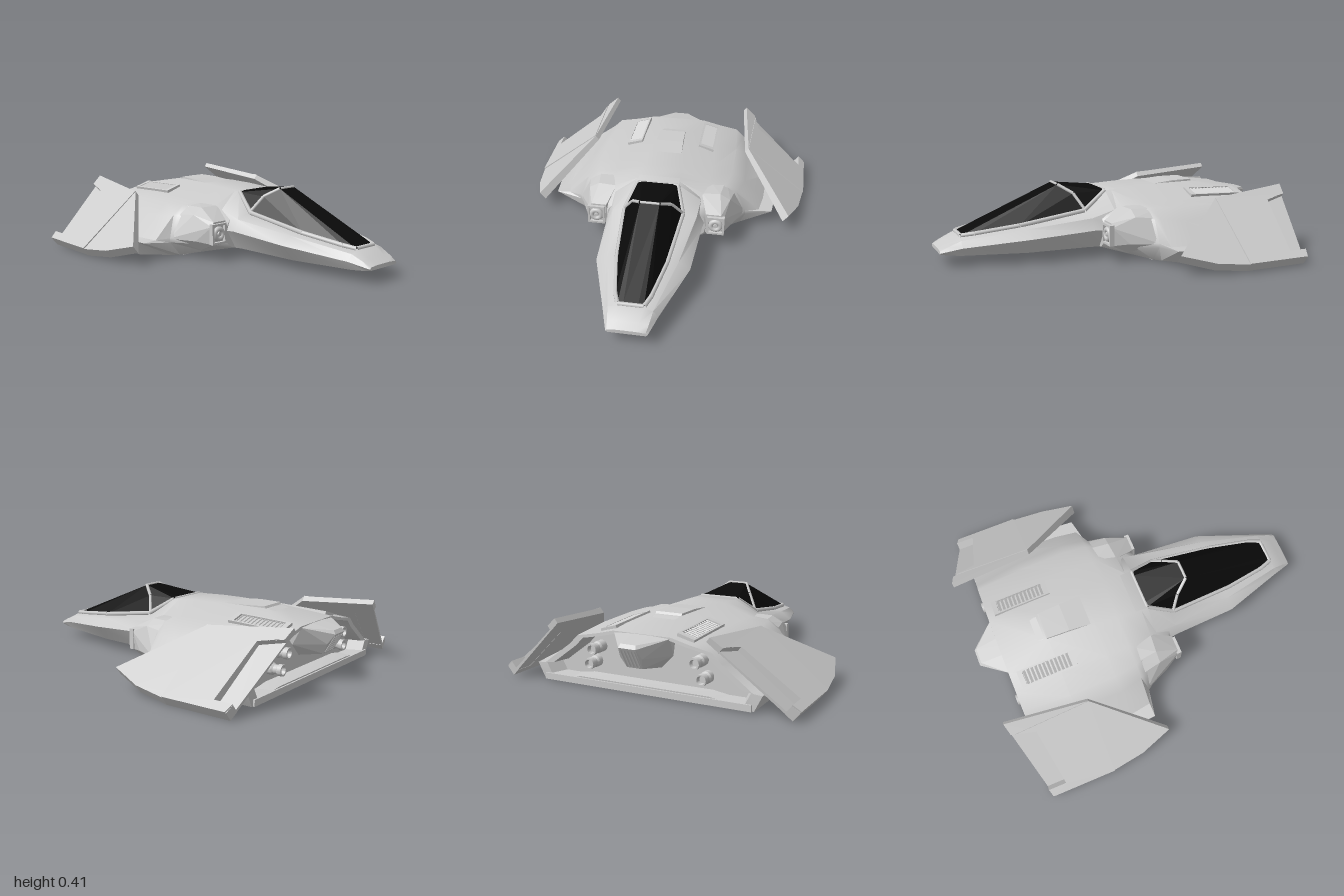
import * as THREE from 'three';
import { ConvexGeometry } from 'three/addons/geometries/ConvexGeometry.js';
import { toCreasedNormals } from 'three/addons/utils/BufferGeometryUtils.js';

const grey = new THREE.MeshStandardMaterial({ color: 0xcccccc });
const glass = new THREE.MeshStandardMaterial({ color: 0x0a0a0a });
const V = (x, y, z) => new THREE.Vector3(x, y, z);

// Mirrored copy across x = 0 with the winding turned round
function mirror(geo) {
  const g = geo.index ? geo.toNonIndexed() : geo.clone();
  g.scale(-1, 1, 1);
  for (const a of Object.values(g.attributes)) {
    const n = a.itemSize, arr = a.array;
    for (let i = 0; i < arr.length; i += 3 * n)
      for (let k = 0; k < n; k++) [arr[i + k], arr[i + 2 * n + k]] = [arr[i + 2 * n + k], arr[i + k]];
  }
  return g;
}

// Symmetric skin through rows [z, x,y, x,y, ...] running from front to back
function loft(rows) {
  const pos = [], idx = [], n = rows[0].length - 1;
  for (const [z, ...p] of rows) {
    for (let i = 0; i < n; i += 2) pos.push(p[i], p[i + 1], z);
    for (let i = n - 2; i >= 0; i -= 2) pos.push(-p[i], p[i + 1], z);
  }
  for (let r = 0; r < rows.length - 1; r++)
    for (let i = 0; i < n; i++) {
      const a = r * n + i, b = r * n + (i + 1) % n;
      idx.push(a, a + n, b, b, a + n, b + n);
    }
  const last = (rows.length - 1) * n, c = pos.length / 3;
  const midY = (row) => (row[2] + row[n]) / 2;
  pos.push(0, midY(rows[0]), rows[0][0], 0, midY(rows.at(-1)), rows.at(-1)[0]);
  for (let i = 0; i < n; i++) {
    const j = (i + 1) % n;
    idx.push(c, i, j, c + 1, last + j, last + i);
  }
  const g = new THREE.BufferGeometry();
  g.setAttribute('position', new THREE.Float32BufferAttribute(pos, 3));
  g.setIndex(idx);
  return toCreasedNormals(g, 0.65);
}

const shape = (pts) => new THREE.Shape(pts.map(([x, y]) => new THREE.Vector2(x, y)));
const extrude = (s, depth) => new THREE.ExtrudeGeometry(s, { depth, bevelEnabled: false });
const rect = (x0, y0, x1, y1) => [[x0, y0], [x1, y0], [x1, y1], [x0, y1]];
function frame(outer, ...holes) {
  const s = shape(outer);
  for (const h of holes) s.holes.push(shape(h));
  return s;
}
const bar = (a, b, r) => new THREE.TubeGeometry(new THREE.LineCurve3(a, b), 1, r, 6);

// Slab lying in the sloping wing plane; outline in (x, z), d from outer (0) to inner (1) skin
function wingSlab(outline, d0, d1) {
  const g = extrude(shape(outline), d1 - d0), p = g.attributes.position;
  for (let i = 0; i < p.count; i++) {
    const x = p.getX(i), z = p.getY(i);
    const d = (p.getZ(i) + d0) * (0.03 + 0.07 * (x - 0.45));
    p.setXYZ(i, x - 0.62 * d, 0.39 - 0.8 * (x - 0.45) - 0.78 * d, z);
  }
  g.computeVertexNormals();
  return g;
}

export function createModel() {
  const model = new THREE.Group();
  const add = (name, geo, mat = grey) => {
    const m = new THREE.Mesh(geo, mat);
    m.name = name;
    model.add(m);
  };
  const pair = (name, geo) => {
    add(name + 'Left', geo);
    add(name + 'Right', mirror(geo));
  };

  // Nose: bottom edge, chine, shoulder, cockpit sill
  add('nose', loft([
    [0.995, 0.1, 0.082, 0.11, 0.09, 0.1, 0.1, 0.05, 0.104],
    [0.95, 0.11, 0.075, 0.125, 0.1, 0.11, 0.122, 0.06, 0.128],
    [0.88, 0.12, 0.068, 0.147, 0.115, 0.12, 0.152, 0.07, 0.165],
    [0.52, 0.18, 0.06, 0.265, 0.155, 0.2, 0.2, 0.14, 0.208],
    [0.15, 0.22, 0.065, 0.285, 0.175, 0.25, 0.24, 0.17, 0.268],
    [0.02, 0.24, 0.06, 0.3, 0.17, 0.26, 0.28, 0.125, 0.37],
    [-0.15, 0.26, 0.04, 0.32, 0.17, 0.28, 0.28, 0.12, 0.374],
  ]));

  // Body: belly, belly edge, skirt tip, skirt root, flank, shoulder, deck; ends in a recessed rear bay
  const body = [
    [0.1, 0.2, 0.065, 0.25, 0.067, 0.29, 0.1, 0.3, 0.14, 0.29, 0.2, 0.27, 0.23, 0.22, 0.25, 0.12, 0.26],
    [-0.02, 0.3, 0.04, 0.36, 0.042, 0.44, 0.1, 0.44, 0.13, 0.4, 0.22, 0.37, 0.27, 0.28, 0.295, 0.125, 0.37],
    [-0.135, 0.36, 0.016, 0.45, 0.016, 0.52, 0.1, 0.52, 0.125, 0.46, 0.25, 0.39, 0.3, 0.29, 0.31, 0.12, 0.376],
    [-0.165, 0.37, 0.045, 0.49, 0.016, 0.68, 0.115, 0.6, 0.12, 0.47, 0.25, 0.4, 0.302, 0.29, 0.312, 0.12, 0.377],
    [-0.3, 0.42, 0.045, 0.615, 0.014, 0.69, 0.115, 0.62, 0.12, 0.5, 0.235, 0.42, 0.3, 0.29, 0.315, 0.11, 0.38],
    [-0.58, 0.42, 0.045, 0.62, 0.014, 0.69, 0.115, 0.63, 0.115, 0.49, 0.235, 0.42, 0.295, 0.28, 0.315, 0.085, 0.378],
    [-0.86, 0.42, 0.045, 0.625, 0.014, 0.67, 0.1, 0.62, 0.105, 0.45, 0.23, 0.4, 0.28, 0.28, 0.303, 0.17, 0.33],
  ];
  const inset = (z, k) => [z, ...body.at(-1).slice(1).map((v, i) => (i % 2 ? 0.17 + (v - 0.17) * k : v * k))];
  add('body', loft([...body, inset(-0.861, 0.91), inset(-0.77, 0.86)]));

  // Belly plate with two louvred bays
  const bay = [[0.04, -0.36], [0.3, -0.36], [0.36, -0.78], [0.04, -0.78]];
  const flip = (pts) => pts.map(([x, z]) => [-x, z]);
  const edge = [[0.43, -0.125], [0.6, -0.29], [0.615, -0.87]];
  const plate = frame([...edge, ...flip(edge).reverse()], bay, flip(bay));
  add('bellyPlate', extrude(plate, 0.035).rotateX(Math.PI / 2).translate(0, 0.049, 0));
  for (let i = 0; i < 7; i++) {
    const w = 0.265 + i * 0.008;
    pair('bellyLouvre' + i, new THREE.BoxGeometry(w, 0.007, 0.036).rotateX(0.6)
      .translate(0.04 + w / 2, 0.032, -0.4 - i * 0.056));
  }

  // Canopy, its rim and the windscreen arch
  const rim = [V(0.07, 0.17, 0.87), V(0.095, 0.18, 0.8), V(0.14, 0.212, 0.55), V(0.172, 0.272, 0.17), V(0.12, 0.368, 0.02)];
  const ridge = [V(0.04, 0.175, 0.865), V(0.055, 0.413, 0.29), V(0.112, 0.365, 0.215), V(0.09, 0.376, 0.02)];
  const flipV = (p) => V(-p.x, p.y, p.z);
  const half = [...rim, ...ridge];
  add('canopy', new ConvexGeometry([...half, ...half.map(flipV)]), glass);
  for (let i = 0; i < rim.length - 1; i++) pair('canopyRim' + i, bar(rim[i], rim[i + 1], 0.013));
  add('canopyRimFront', bar(rim[0], flipV(rim[0]), 0.012));
  add('canopyRimBack', bar(rim[4], flipV(rim[4]), 0.01));
  pair('archLower', bar(V(0.172, 0.275, 0.165), ridge[2], 0.01));
  pair('archUpper', bar(ridge[2], ridge[1], 0.01));
  add('archTop', bar(ridge[1], flipV(ridge[1]), 0.008));

  // Side pods with a framed gun port
  pair('pod', new ConvexGeometry([
    V(0.3, 0.105, 0.1), V(0.395, 0.105, 0.1), V(0.405, 0.21, 0.1), V(0.39, 0.235, 0.1), V(0.3, 0.235, 0.1),
    V(0.26, 0.3, -0.02), V(0.37, 0.3, -0.03), V(0.43, 0.265, -0.03), V(0.45, 0.12, 0.01), V(0.4, 0.06, 0),
    V(0.26, 0.31, -0.2), V(0.39, 0.3, -0.2), V(0.46, 0.25, -0.2), V(0.52, 0.12, -0.15), V(0.28, 0.06, -0.15),
  ]));
  pair('gunFrame', extrude(frame(rect(0.308, 0.108, 0.412, 0.226), rect(0.32, 0.12, 0.4, 0.214)), 0.028).translate(0, 0, 0.09));
  pair('gunRing', new THREE.TorusGeometry(0.028, 0.015, 10, 24).translate(0.36, 0.167, 0.107));
  pair('gunBarrel', new THREE.CylinderGeometry(0.012, 0.018, 0.03, 16).rotateX(Math.PI / 2).translate(0.36, 0.167, 0.105));

  // Canted wings: notched slab, raised panel, thin flap in the notch
  const notch = [[0.51, -0.965], [0.54, -0.83], [0.83, -0.785], [0.83, -0.89]];
  pair('wing', wingSlab([[0.45, -0.98], ...notch, [0.87, -0.88], [0.87, -0.5], [0.845, -0.31], [0.785, -0.12], [0.5, -0.5]], 0, 1));
  pair('wingPanel', wingSlab([[0.515, -0.94], ...notch.slice(1), [0.87, -0.875], [0.87, -0.5], [0.5, -0.5]], -0.12, 0.02));
  pair('wingFlap', wingSlab([...notch].reverse(), 0.7, 0.97));

  // Tail fairing with a ribbed exhaust
  const tail = [
    V(0.165, 0.328, -0.8), V(0.15, 0.22, -0.8), V(0.08, 0.15, -0.8), V(0.165, 0.322, -0.86), V(0.045, 0.305, -0.985),
    V(0.05, 0.285, -0.998), V(0.065, 0.23, -0.96), V(0.045, 0.17, -0.93), V(0.085, 0.24, -0.92), V(0.07, 0.375, -0.6),
  ];
  add('tailFairing', new ConvexGeometry([...tail, ...tail.map(flipV)]));
  for (let i = -2; i <= 2; i++)
    add('exhaustRib' + (i + 2), bar(V(i * 0.02, 0.275, -0.992), V(i * 0.02, 0.18, -0.936), 0.006));

  // Low spine rising to a step
  add('spine', new ConvexGeometry([-1, 1].flatMap((s) => [
    V(s * 0.1, 0.37, -0.2), V(s * 0.085, 0.39, -0.45), V(s * 0.08, 0.389, -0.58), V(s * 0.08, 0.365, -0.595),
  ])));

  // Stacked engine nozzles
  const profile = [[0.032, 0], [0.032, 0.05], [0.025, 0.06], [0.025, 0.08], [0.031, 0.085], [0.031, 0.11], [0.022, 0.11], [0.018, 0.085], [0, 0.085]];
  [[0.305, 0.215, -0.765], [0.335, 0.13, -0.75]].forEach(([x, y, z], i) => pair('nozzle' + i, toCreasedNormals(
    new THREE.LatheGeometry(profile.map(([r, h]) => new THREE.Vector2(r, h)), 20)
      .rotateX(-Math.PI / 2).translate(x, y, z), 0.6)));

  // Slatted vents on the upper deck
  const place = (g) => g.rotateZ(-0.28).rotateX(-0.04).translate(0.23, 0.331, -0.645);
  pair('ventFrame', place(extrude(frame(rect(-0.05, -0.17, 0.05, 0.17), rect(-0.04, -0.14, 0.04, 0.14)), 0.025)
    .rotateX(-Math.PI / 2).translate(0, -0.015, 0)));
  for (let i = 0; i < 12; i++)
    pair('ventSlat' + i, place(new THREE.BoxGeometry(0.08, 0.006, 0.016).rotateX(0.5).translate(0, 0.003, -0.13 + i * 0.0236)));

  return model;
}
